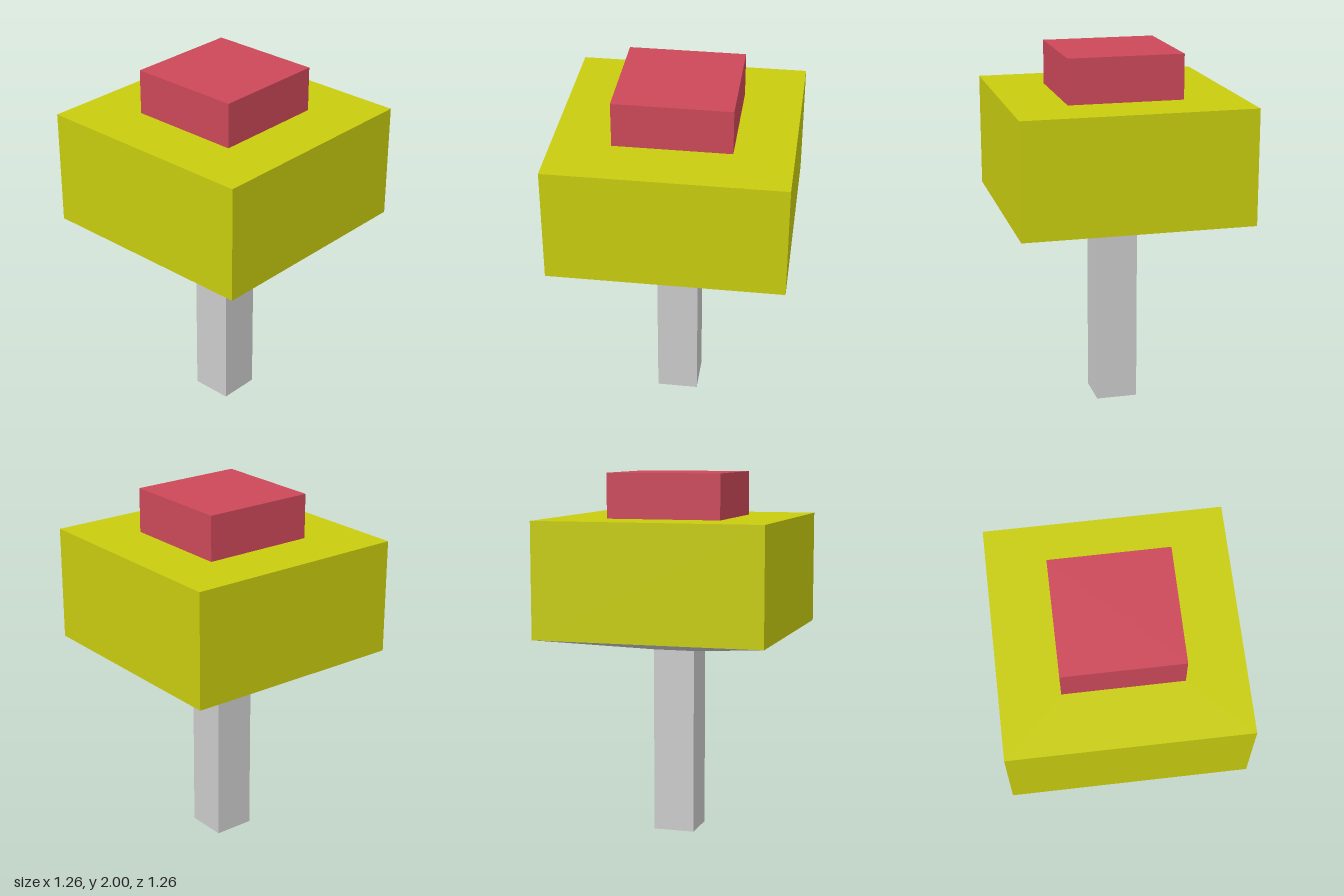
import * as THREE from 'three';

const GREY = 0xcccccc, YELLOW = 0xc8cc0e, RED = 0xcc4859;

// Square block or frustum between two heights, given its half widths
function squarePart(name, color, y0, y1, halfBottom, halfTop = halfBottom) {
  const geometry = new THREE.CylinderGeometry(
    halfTop * Math.SQRT2, halfBottom * Math.SQRT2, y1 - y0, 4);
  geometry.rotateY(Math.PI / 4);
  geometry.translate(0, (y0 + y1) / 2, 0);
  const material = new THREE.MeshStandardMaterial({ color, flatShading: true });
  const mesh = new THREE.Mesh(geometry, material);
  mesh.name = name;
  return mesh;
}

export function createModel() {
  const model = new THREE.Group();
  model.name = 'squareHeadOnPost';
  model.add(
    squarePart('post', GREY, 0, 1.025, 0.115),
    // Shallow taper from the post out to the head
    squarePart('taperedUnderside', GREY, 1.025, 1.125, 0.115, 0.63),
    squarePart('head', YELLOW, 1.125, 1.755, 0.63),
    squarePart('cap', RED, 1.755, 2, 0.315),
  );
  return model;
}
